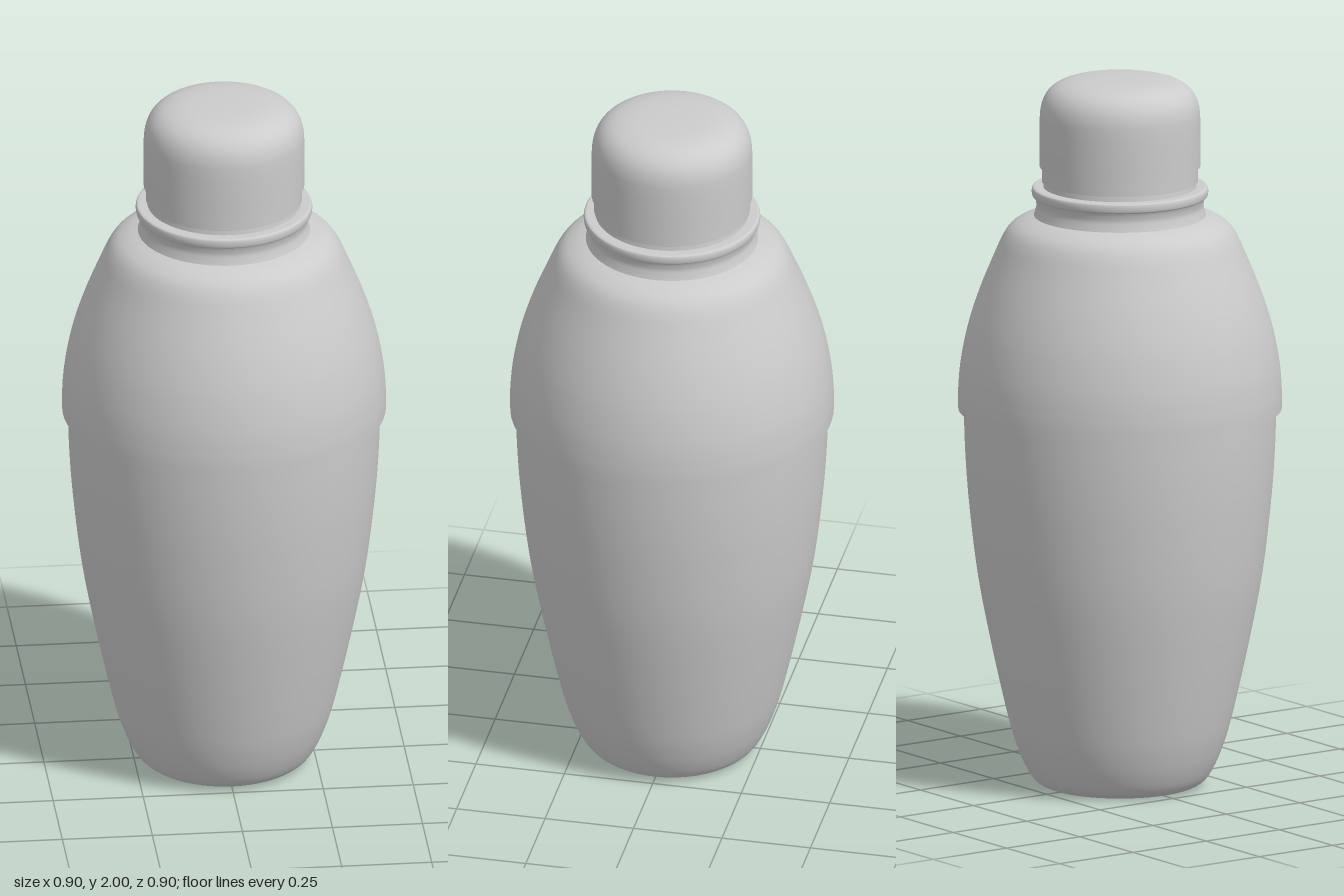
import * as THREE from 'three';

const material = new THREE.MeshStandardMaterial({ color: 0xcccccc });
const SEGMENTS = 96;

// Each section is a smooth run of [radius, y] points, going up the outside; sections meet in sharp edges
function turnedPart(name, sections) {
  const group = new THREE.Group();
  group.name = name;
  sections.forEach((section, i) => {
    let points = section.map(([r, y]) => new THREE.Vector2(r, y));
    if (points.length > 2) {
      points = new THREE.SplineCurve(points).getPoints(points.length * 6);
      points.forEach((p) => { p.x = Math.max(p.x, 0); });
    }
    const mesh = new THREE.Mesh(new THREE.LatheGeometry(points, SEGMENTS), material);
    mesh.name = `${name}Surface${i + 1}`;
    group.add(mesh);
  });
  return group;
}

export function createModel() {
  const model = new THREE.Group();
  model.name = 'cocktailShaker';

  // Tapered cup with a softly rounded foot
  model.add(turnedPart('cup', [
    [[0, 0.005], [0.19, 0.005]],
    [[0.19, 0.005], [0.215, 0.008], [0.24, 0.025], [0.262, 0.06], [0.285, 0.115], [0.31, 0.2],
      [0.355, 0.4], [0.393, 0.6], [0.417, 0.8], [0.428, 0.95], [0.432, 1.08]],
  ]));

  // Domed shoulder overlapping the cup rim
  model.add(turnedPart('shoulder', [
    [[0.425, 1.066], [0.447, 1.066]],
    [[0.447, 1.066], [0.447, 1.12], [0.44, 1.2], [0.42, 1.3], [0.388, 1.4], [0.345, 1.505],
      [0.322, 1.555], [0.3, 1.583], [0.27, 1.601], [0.238, 1.612]],
  ]));

  // Neck with a rolled collar and a strainer rim under the cap
  model.add(turnedPart('neck', [
    [[0.238, 1.612], [0.234, 1.625], [0.231, 1.64], [0.233, 1.655], [0.236, 1.664]],
    [[0.236, 1.664], [0.242, 1.668], [0.244, 1.68], [0.242, 1.69], [0.236, 1.693]],
    [[0.236, 1.693], [0.212, 1.693]],
    [[0.212, 1.693], [0.21, 1.708]],
    [[0.21, 1.708], [0.216, 1.708]],
    [[0.216, 1.708], [0.216, 1.76]],
  ]));

  // Rounded cap
  model.add(turnedPart('cap', [
    [[0.205, 1.75], [0.222, 1.75]],
    [[0.222, 1.75], [0.2225, 1.82], [0.222, 1.88], [0.219, 1.915], [0.209, 1.945], [0.19, 1.969],
      [0.162, 1.985], [0.12, 1.995], [0.06, 1.999], [0, 2]],
  ]));

  return model;
}
